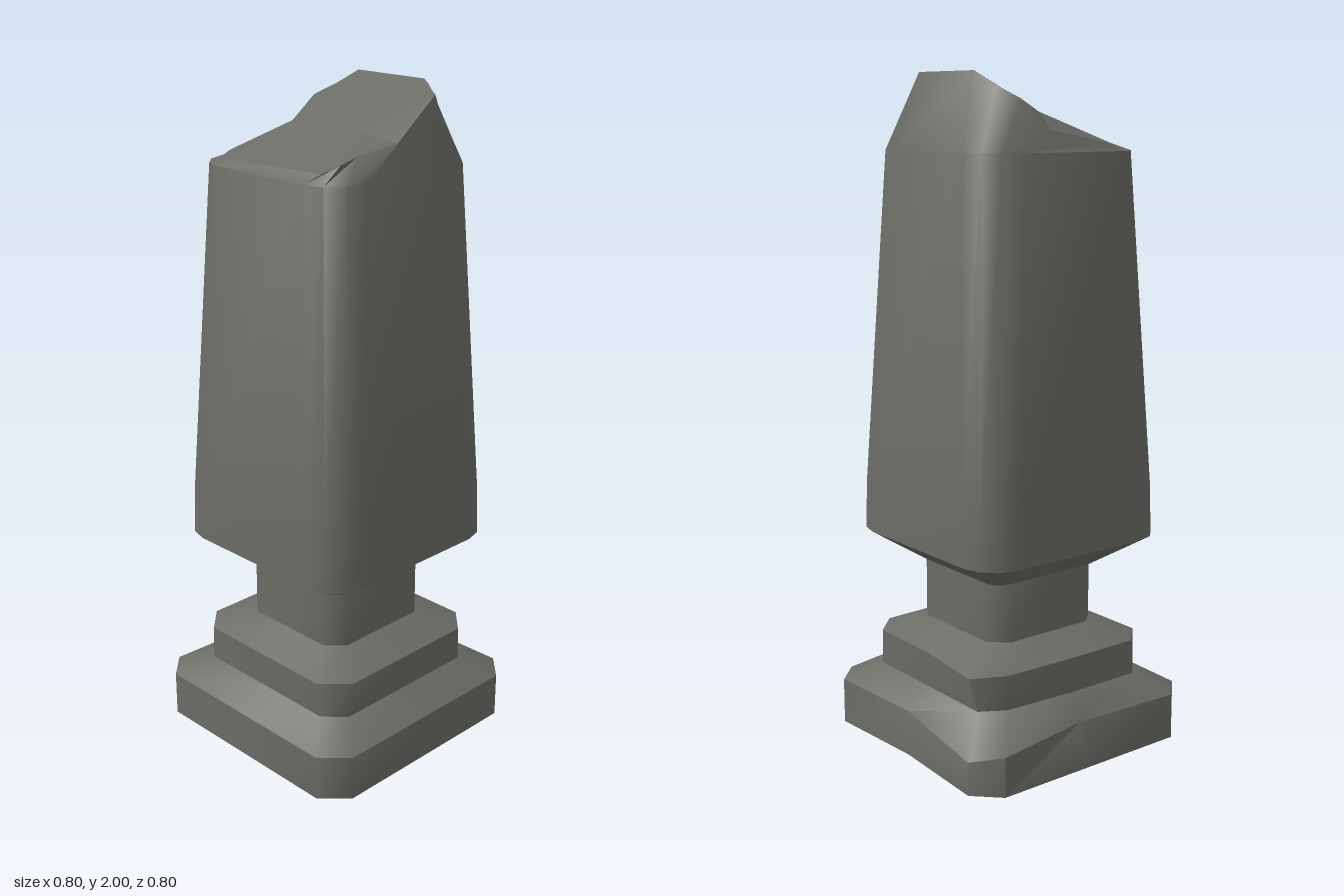
import * as THREE from 'three';
import { toCreasedNormals } from 'three/addons/utils/BufferGeometryUtils.js';

// Square ring with rounded (segs > 1) or cut (segs = 1) corners, optional mid-side points.
function ring(y, h, r, segs = 1, mids = true, edits = {}) {
  const pts = [];
  for (let c = 0; c < 4; c++) {
    const q = c * Math.PI / 2;
    const cx = (h - r) * (c === 0 || c === 3 ? 1 : -1);
    const cz = (h - r) * (c < 2 ? 1 : -1);
    for (let s = 0; s <= segs; s++) {
      const a = q + (s / segs) * Math.PI / 2;
      pts.push([cx + r * Math.cos(a), y, cz + r * Math.sin(a)]);
    }
    if (mids) pts.push([h * Math.cos(q + Math.PI / 2), y, h * Math.sin(q + Math.PI / 2)]);
  }
  for (const i in edits) pts[i] = edits[i];
  return pts;
}

function meshFrom(name, tris, material, crease) {
  const geo = new THREE.BufferGeometry();
  geo.setAttribute('position', new THREE.Float32BufferAttribute(tris.flat(), 3));
  const mesh = new THREE.Mesh(toCreasedNormals(geo, crease), material);
  mesh.name = name;
  return mesh;
}

// Skin between successive rings
function loft(name, rings, material) {
  const tris = [];
  for (let k = 0; k + 1 < rings.length; k++) {
    const lo = rings[k], hi = rings[k + 1], n = lo.length;
    for (let i = 0; i < n; i++) {
      const j = (i + 1) % n;
      tris.push(lo[i], hi[i], lo[j], lo[j], hi[i], hi[j]);
    }
  }
  return meshFrom(name, tris, material, 0.85);
}

export function createModel() {
  const group = new THREE.Group();
  group.name = 'brokenPillar';
  const stone = new THREE.MeshStandardMaterial({ color: 0x6b6c66, side: THREE.DoubleSide });
  stone.name = 'grey stone';

  // Plinth, open below, with a dented side and chipped back corner
  const stepFoot = ring(0.2, 0.305, 0.06, 1, true, { 9: [0.23, 0.2, -0.29] });
  group.add(loft('plinth', [
    ring(0, 0.4, 0.075, 1, true, { 11: [0.38, 0, 0] }),
    ring(0.14, 0.4, 0.075, 1, true, {
      8: [0.03, 0.14, -0.38], 9: [0.325, 0.12, -0.4], 10: [0.4, 0.1, -0.325], 11: [0.38, 0.14, 0],
    }),
    stepFoot,
  ], stone));

  // Step with a chipped corner
  const neckFoot = ring(0.36, 0.2, 0.05);
  group.add(loft('step', [
    stepFoot,
    ring(0.31, 0.31, 0.075, 1, true, { 9: [0.24, 0.31, -0.3], 10: [0.325, 0.3, -0.23] }),
    neckFoot,
  ], stone));

  group.add(loft('neck', [neckFoot, ring(0.54, 0.2, 0.05)], stone));

  // Ragged broken rim of the shaft
  const rim = [
    [0.22, 2, 0.13], [0.2, 1.99, 0.165], [0.17, 1.98, 0.205], [0.145, 1.975, 0.24],
    [-0.02, 1.865, 0.255], [-0.15, 1.845, 0.235], [-0.22, 1.83, 0.24], [-0.265, 1.81, 0.215],
    [-0.26, 1.8, -0.155], [-0.23, 1.8, -0.19], [-0.2, 1.8, -0.225], [-0.175, 1.8, -0.255],
    [0.05, 1.84, -0.255], [0.145, 1.925, -0.24], [0.185, 1.96, -0.185], [0.22, 2, -0.13],
  ];

  // Tapered shaft flaring out from the neck
  group.add(loft('shaft', [
    ring(0.54, 0.2, 0.05, 3, false),
    ring(0.635, 0.343, 0.11, 3, false),
    ring(0.78, 0.34, 0.11, 3, false),
    ring(1.78, 0.288, 0.115, 3, false),
    rim,
  ], stone));

  // Broken top: two fans meeting along a ridge
  const front = [0, 1.88, 0.06], back = [0, 1.89, -0.14];
  const tris = [front, rim[15], back, front, back, rim[8]];
  for (let i = 0; i < 16; i++) {
    tris.push(i >= 8 && i < 15 ? back : front, rim[(i + 1) % 16], rim[i]);
  }
  group.add(meshFrom('brokenTop', tris, stone, 0.4));

  return group;
}
